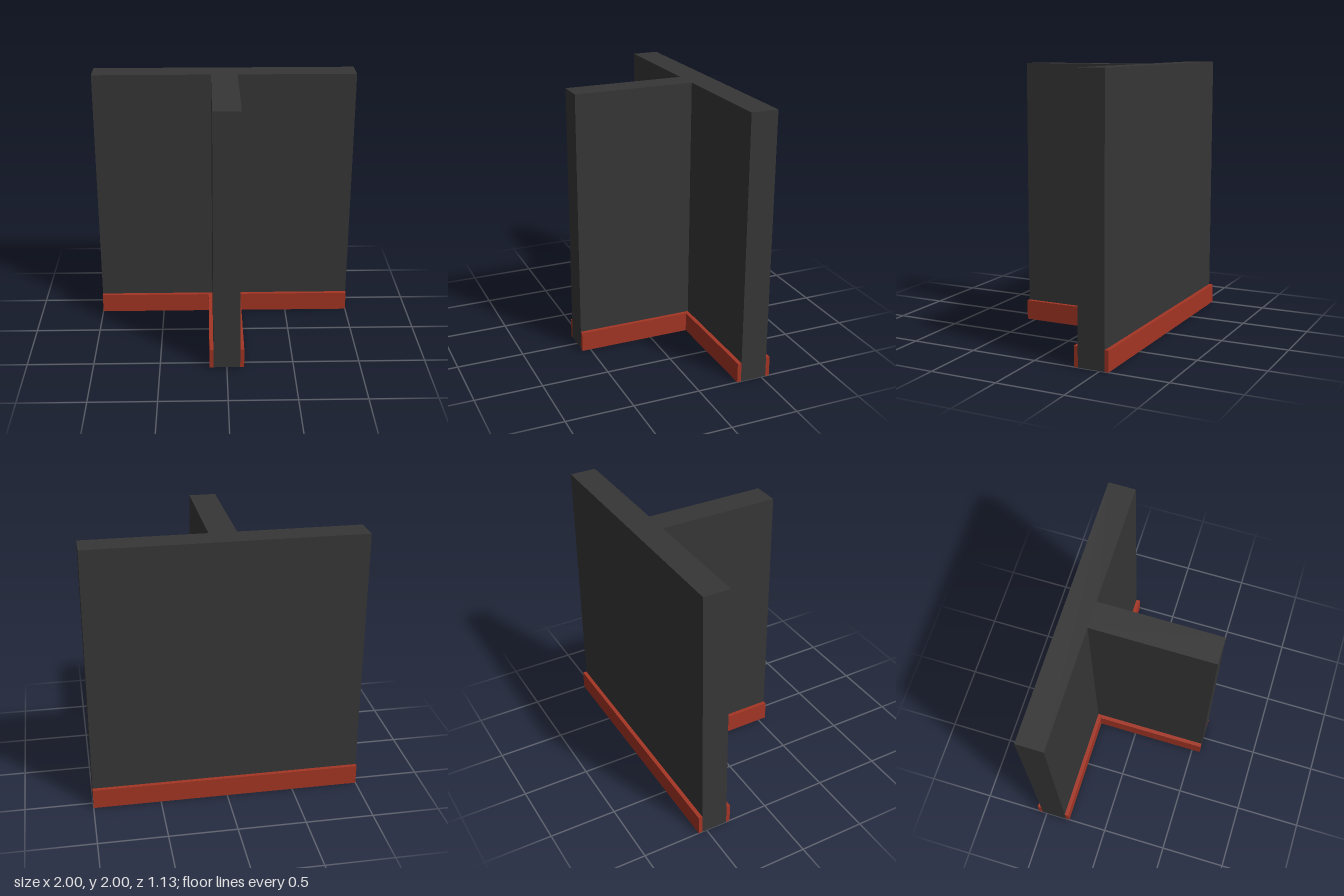
import * as THREE from 'three';

const wallMat = new THREE.MeshStandardMaterial({ color: 0x363636 });
wallMat.name = 'charcoal wall';
const skirtingMat = new THREE.MeshStandardMaterial({ color: 0xa33524 });
skirtingMat.name = 'brick red skirting';

// Main plan dimensions
const HALF_WIDTH = 1, HALF_STEM = 0.1, FRONT = 0.565;
const WALL_BACK = -0.535, WALL_FRONT = -0.335;
const WALL_HEIGHT = 2, TRIM = 0.03, TRIM_HEIGHT = 0.15;

// Raises a floor-plan outline of [x, z] points to the given height
function raisePlan(name, points, height, material) {
  const shape = new THREE.Shape(points.map(([x, z]) => new THREE.Vector2(x, -z)));
  const geometry = new THREE.ExtrudeGeometry(shape, { depth: height, bevelEnabled: false });
  geometry.rotateX(-Math.PI / 2);
  const mesh = new THREE.Mesh(geometry, material);
  mesh.name = name;
  return mesh;
}

export function createModel() {
  const model = new THREE.Group();
  model.name = 'wallJunction';

  // T-shaped wall
  model.add(raisePlan('wall', [
    [-HALF_WIDTH, WALL_BACK], [HALF_WIDTH, WALL_BACK],
    [HALF_WIDTH, WALL_FRONT], [HALF_STEM, WALL_FRONT],
    [HALF_STEM, FRONT], [-HALF_STEM, FRONT],
    [-HALF_STEM, WALL_FRONT], [-HALF_WIDTH, WALL_FRONT],
  ], WALL_HEIGHT, wallMat));

  // Straight skirting along the back
  model.add(raisePlan('backSkirting', [
    [-HALF_WIDTH, WALL_BACK - TRIM], [HALF_WIDTH, WALL_BACK - TRIM],
    [HALF_WIDTH, WALL_BACK], [-HALF_WIDTH, WALL_BACK],
  ], TRIM_HEIGHT, skirtingMat));

  // L-shaped skirting in each inner corner
  for (const [name, side] of [['leftSkirting', 1], ['rightSkirting', -1]]) {
    model.add(raisePlan(name, [
      [HALF_WIDTH, WALL_FRONT], [HALF_WIDTH, WALL_FRONT + TRIM],
      [HALF_STEM + TRIM, WALL_FRONT + TRIM], [HALF_STEM + TRIM, FRONT],
      [HALF_STEM, FRONT], [HALF_STEM, WALL_FRONT],
    ].map(([x, z]) => [side * x, z]), TRIM_HEIGHT, skirtingMat));
  }

  return model;
}
